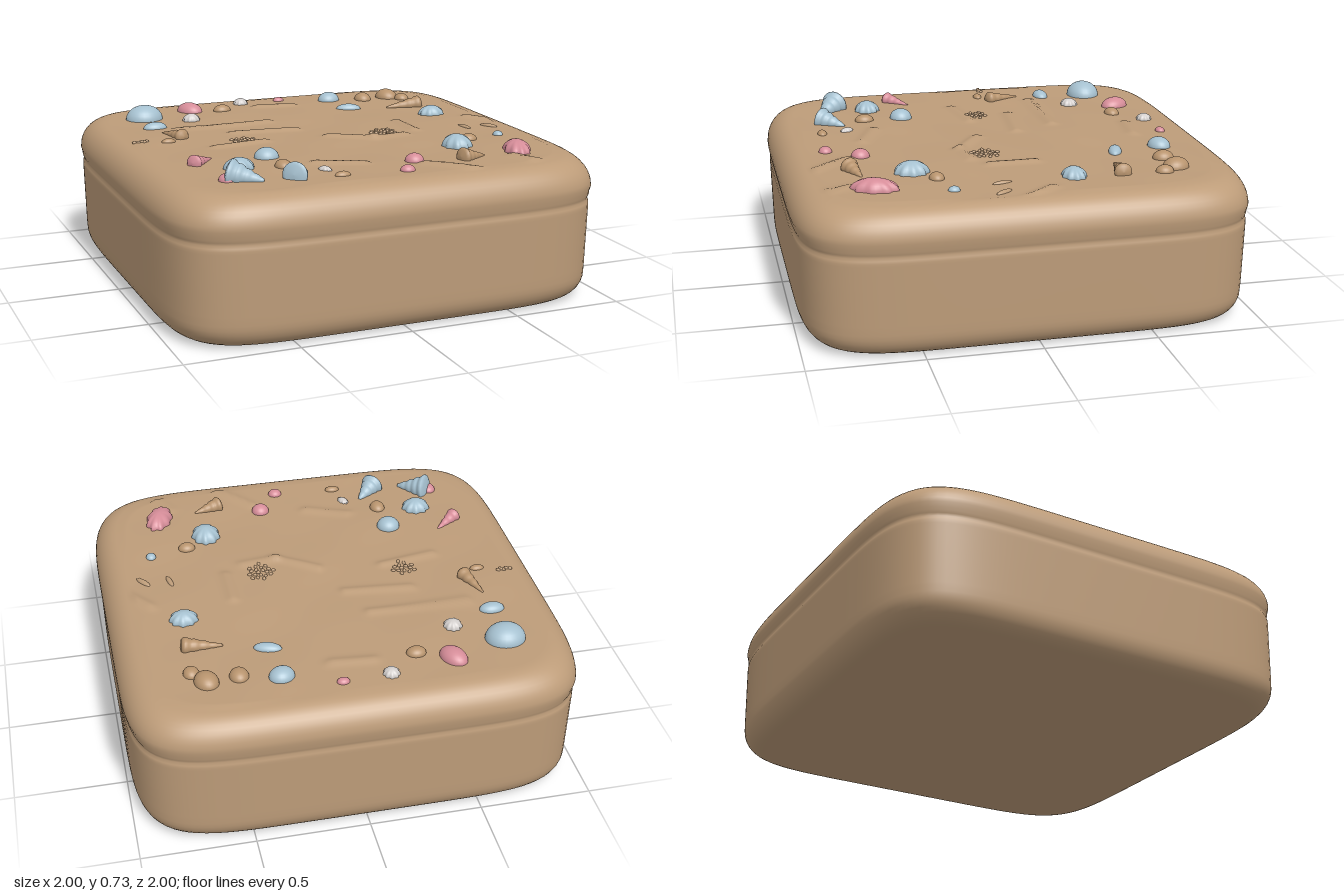
import * as THREE from 'three';

const mat = (name, color) => {
  const m = new THREE.MeshStandardMaterial({ color });
  m.name = name;
  return m;
};

// Ridges pressed up on the top face: x1, z1, x2, z2
const ridges = [
  [-0.6, -0.33, -0.15, -0.33], [-0.38, -0.17, -0.08, -0.14], [-0.55, 0.08, -0.3, 0.04],
  [0, 0.07, 0.18, 0.19], [0.18, 0.19, 0.34, 0.17], [0.43, -0.1, 0.43, 0.1],
  [0.8, -0.08, 0.92, 0.08], [-0.24, 0.52, -0.05, 0.6], [0.2, 0.7, 0.36, 0.88],
  [0.61, 0.73, 0.68, 0.9], [-0.08, -0.68, 0.1, -0.66],
];

function topHeight(x, z) {
  let y = 0.643 + 0.004 * Math.sin(5 * x + 2 * z) * Math.cos(6 * z - x);
  y += 0.002 * Math.sin(13 * z + 3 * x) * Math.cos(9 * x);
  for (const [x1, z1, x2, z2] of ridges) {
    const dx = x2 - x1, dz = z2 - z1;
    const t = THREE.MathUtils.clamp(((x - x1) * dx + (z - z1) * dz) / (dx * dx + dz * dz), 0, 1);
    const d = Math.hypot(x - x1 - t * dx, z - z1 - t * dz) / 0.026;
    y += 0.012 * Math.exp(-d * d);
  }
  return y;
}

// Side outline: rounded foot, upright wall with a groove, rounded lid edge
function slabOutline() {
  const out = [];
  for (let i = 0; i <= 8; i++) {
    const a = (i / 8) * Math.PI / 2;
    out.push([0.9 + 0.087 * Math.sin(a), 0.113 - 0.11 * Math.cos(a)]);
  }
  for (let y = 0.14; y < 0.5; y += 0.012) {
    const groove = (y - 0.455) / 0.012;
    out.push([0.988 + 0.02 * (y - 0.14) - 0.007 * Math.exp(-groove * groove), y]);
  }
  for (let i = 0; i <= 10; i++) {
    const a = (i / 10) * Math.PI / 2;
    out.push([0.88 + 0.12 * Math.cos(a), 0.51 + 0.131 * Math.sin(a)]);
  }
  return out;
}

// Slab made of rounded-square rings, from the base centre to the top centre
function slabGeometry() {
  const rings = slabOutline();
  const nTop = 64, seg = 224, n = 6.5;
  for (let i = 0; i < nTop; i++) rings.push([0.865 * (1 - i / nTop), null]);
  const pos = [0, 0.003, 0], idx = [];
  for (const [s, h] of rings) {
    for (let j = 0; j < seg; j++) {
      const a = (j / seg) * Math.PI * 2, c = Math.cos(a), d = Math.sin(a);
      const r = s / Math.pow(Math.abs(c) ** n + Math.abs(d) ** n, 1 / n);
      const x = r * c, z = r * d;
      pos.push(x, h === null ? topHeight(x, z) : h, z);
    }
  }
  const last = pos.length / 3;
  pos.push(0, topHeight(0, 0), 0);
  for (let j = 0; j < seg; j++) {
    const k = (j + 1) % seg;
    idx.push(0, 1 + j, 1 + k);
    for (let i = 0; i < rings.length - 1; i++) {
      const a = 1 + i * seg + j, b = 1 + i * seg + k;
      idx.push(a, a + seg, b, b, a + seg, b + seg);
    }
    idx.push(last - seg + j, last, last - seg + k);
  }
  const g = new THREE.BufferGeometry();
  g.setAttribute('position', new THREE.Float32BufferAttribute(pos, 3));
  g.setIndex(idx);
  g.computeVertexNormals();
  return g;
}

// Sphere with ribs fanning out around its upright axis
function ribbedGeometry() {
  const g = new THREE.SphereGeometry(1, 40, 16);
  const p = g.attributes.position;
  for (let i = 0; i < p.count; i++) {
    const x = p.getX(i), z = p.getZ(i);
    const k = 1 + 0.08 * Math.cos(9 * Math.atan2(z, x)) * Math.hypot(x, z);
    p.setXYZ(i, x * k, p.getY(i), z * k);
  }
  g.computeVertexNormals();
  return g;
}

// Spiral shell: stepped whorls narrowing from base to tip
function spiralGeometry(r, length) {
  const pts = [new THREE.Vector2(0, 0), new THREE.Vector2(r * 0.7, length * 0.02)];
  for (let i = 0; i <= 24; i++) {
    const t = i / 24;
    const bump = 0.86 + 0.14 * Math.abs(Math.sin(t * Math.PI * 4 + 0.8));
    pts.push(new THREE.Vector2(r * (1 - 0.85 * t) * bump, length * (0.08 + 0.9 * t)));
  }
  pts.push(new THREE.Vector2(0, length));
  return new THREE.LatheGeometry(pts, 20);
}

export function createModel() {
  const group = new THREE.Group();
  const sand = mat('sand', 0xbd9c79);
  const tan = mat('tan shell', 0xb8946e), blue = mat('blue shell', 0xa6c1d0);
  const pink = mat('pink shell', 0xd68d99), white = mat('white shell', 0xd3cfcd);
  const add = (name, geo, material) => {
    const m = new THREE.Mesh(geo, material);
    m.name = name;
    group.add(m);
    return m;
  };
  add('sandSlab', slabGeometry(), sand);

  // Half-sunk ellipsoids: x, z, half width, half depth, turn
  const smooth = new THREE.SphereGeometry(1, 28, 16), ribbed = ribbedGeometry();
  const addShells = (name, geo, material, list) => {
    for (const [x, z, w, d, turn = 0] of list) {
      const m = add(name, geo, material);
      m.position.set(x, topHeight(x, z), z);
      m.scale.set(w, 0.85 * Math.min(w, d), d);
      m.rotation.y = turn;
    }
  };
  addShells('roundShell', smooth, blue, [
    [-0.68, -0.64, 0.09, 0.08], [0.325, -0.71, 0.057, 0.05, 0.3], [0.345, -0.495, 0.062, 0.03, -0.3],
    [-0.69, -0.415, 0.057, 0.036], [-0.41, 0.36, 0.055, 0.053], [0.75, 0.33, 0.023, 0.026],
  ]);
  addShells('pebble', smooth, tan, [
    [-0.27, -0.67, 0.044, 0.035], [0.5, -0.67, 0.042, 0.048], [0.64, -0.68, 0.052, 0.062, 0.3],
    [0.695, -0.61, 0.035, 0.04], [-0.72, -0.09, 0.033, 0.02], [-0.4, 0.54, 0.036, 0.045],
    [-0.22, 0.765, 0.035, 0.022], [0.575, 0.37, 0.04, 0.033],
  ]);
  addShells('roundShell', smooth, pink, [
    [-0.42, -0.73, 0.052, 0.072, 0.45], [0.08, -0.8, 0.028, 0.022],
    [0.17, 0.64, 0.042, 0.042], [0.07, 0.785, 0.033, 0.03],
  ]);
  addShells('scallopShell', ribbed, blue, [
    [0.67, -0.21, 0.062, 0.052], [-0.585, 0.5, 0.064, 0.057], [0.47, 0.46, 0.064, 0.074],
  ]);
  addShells('scallopShell', ribbed, pink, [[0.67, 0.65, 0.058, 0.1, -0.35]]);
  addShells('whiteShell', ribbed, white, [
    [-0.13, -0.79, 0.035, 0.035], [-0.48, -0.51, 0.04, 0.04], [-0.25, 0.645, 0.02, 0.032, 0.5],
  ]);
  addShells('sandRidge', smooth, sand, [[0.69, 0.11, 0.012, 0.045, 0.2], [0.81, 0.13, 0.014, 0.045, 0.6]]);

  // Spiral shells lying down: base x, z, tip x, z, radius
  const up = new THREE.Vector3(0, 1, 0);
  const addSpiral = (material, x, z, tx, tz, r) => {
    const dir = new THREE.Vector3(tx - x, -r * 0.35, tz - z);
    const m = add('spiralShell', spiralGeometry(r, dir.length()), material);
    m.position.set(x, topHeight(x, z) + r * 0.35, z);
    m.quaternion.setFromUnitVectors(up, dir.normalize());
  };
  addSpiral(tan, 0.715, -0.42, 0.53, -0.435, 0.04);
  addSpiral(tan, -0.635, -0.12, -0.69, -0.29, 0.035);
  addSpiral(tan, 0.355, 0.72, 0.49, 0.68, 0.042);
  addSpiral(pink, -0.755, 0.385, -0.64, 0.285, 0.036);
  addSpiral(blue, -0.685, 0.64, -0.555, 0.735, 0.068);
  addSpiral(blue, -0.435, 0.755, -0.335, 0.645, 0.058);
  addShells('shellLip', smooth, pink, [[-0.695, 0.665, 0.035, 0.04]]);

  // Clusters of coarse grains
  const grain = new THREE.SphereGeometry(1, 10, 6);
  const addGrains = (cx, cz, count, width, depth) => {
    for (let i = 0; i < count; i++) {
      const a = i * 2.4, r = Math.sqrt((i + 0.5) / count);
      const x = cx + width * r * Math.cos(a), z = cz + depth * r * Math.sin(a);
      const m = add('sandGrain', grain, sand);
      m.position.set(x, topHeight(x, z), z);
      m.scale.set(0.011, 0.009, 0.008);
      m.rotation.y = a;
    }
  };
  addGrains(-0.39, -0.01, 14, 0.055, 0.055);
  addGrains(0.27, 0.09, 20, 0.065, 0.065);
  addGrains(-0.84, -0.125, 6, 0.035, 0.01);
  return group;
}
